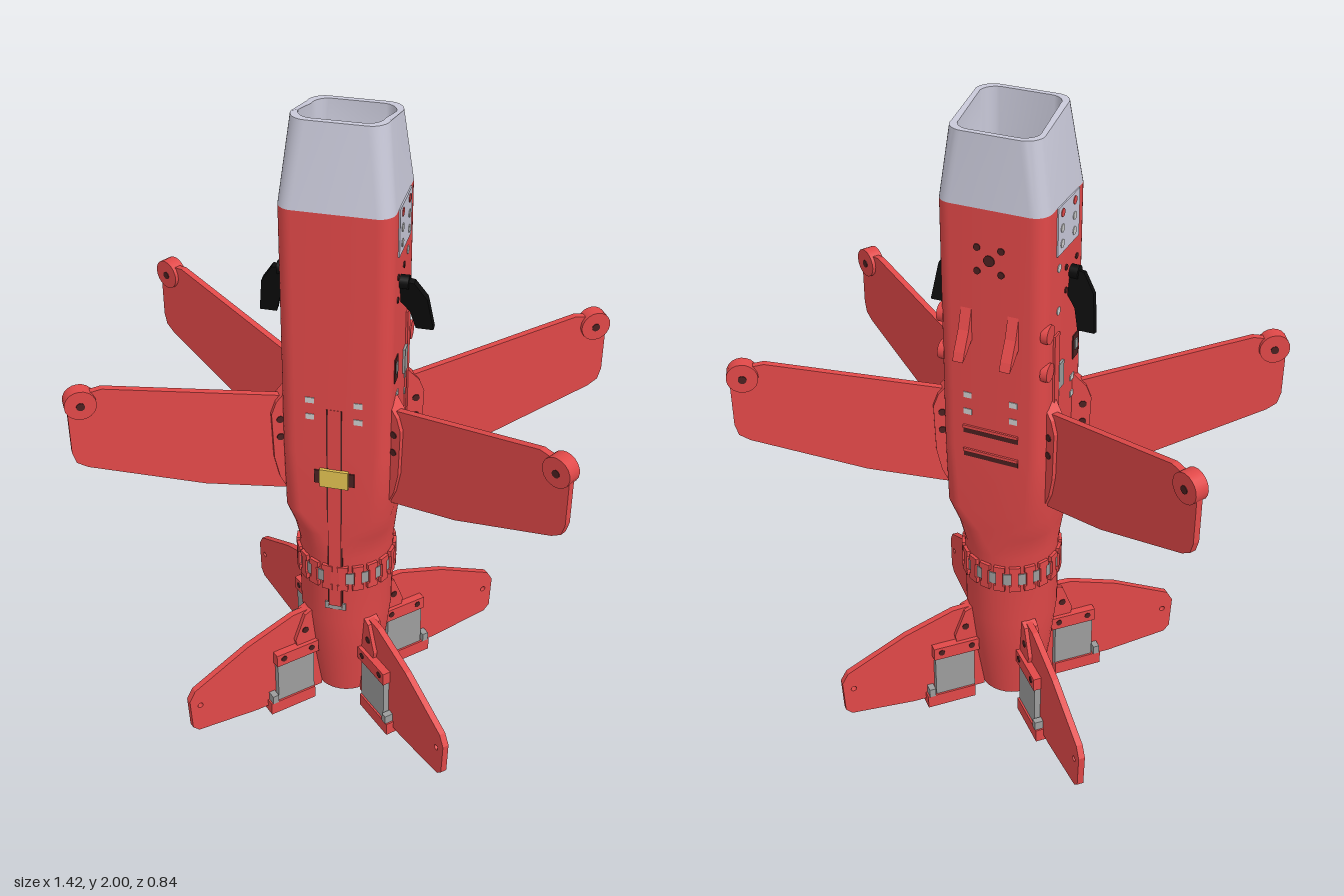
import * as THREE from 'three';
import { toCreasedNormals } from 'three/addons/utils/BufferGeometryUtils.js';

const mat = (color) => new THREE.MeshStandardMaterial({ color });
const RED = mat(0xe04848), NOSE = mat(0xc8c8d8), GREY = mat(0x9c9c9c), BLACK = mat(0x0c0c0c);
const YELLOW = mat(0xe0c050), PALE = mat(0xf2f2f2), GREEN = mat(0x30b040), DARK = mat(0x4a2020);

function add(parent, name, geometry, material, x = 0, y = 0, z = 0) {
  const m = new THREE.Mesh(geometry, material);
  m.name = name;
  m.position.set(x, y, z);
  parent.add(m);
  return m;
}
const box = (p, name, material, w, h, d, x, y, z) =>
  add(p, name, new THREE.BoxGeometry(w, h, d), material, x, y, z);

// Disc whose axis runs along 'x' or 'z'
function disc(p, name, material, r, depth, axis, x, y, z) {
  const g = new THREE.CylinderGeometry(r, r, depth, 20);
  if (axis === 'x') g.rotateZ(Math.PI / 2); else g.rotateX(Math.PI / 2);
  return add(p, name, g, material, x, y, z);
}

// Skin through rounded-rectangle rings: [y, halfWidth, halfDepth, cornerRadius, cx, cz]
function loft(rings, shiftY = () => 0) {
  const pos = [], idx = [], seg = 8, n = 4 * (seg + 1);
  rings.forEach(([y, hw, hd, r, cx = 0, cz = 0], k) => {
    for (let c = 0; c < 4; c++) for (let s = 0; s <= seg; s++) {
      const a = (c + s / seg) * Math.PI / 2;
      const x = cx + (c === 0 || c === 3 ? 1 : -1) * (hw - r) + r * Math.cos(a);
      const z = cz + (c < 2 ? 1 : -1) * (hd - r) + r * Math.sin(a);
      pos.push(x, y + shiftY(k, z), z);
    }
    if (k) for (let i = 0; i < n; i++) {
      const j = (i + 1) % n, a = (k - 1) * n, b = k * n;
      idx.push(a + i, b + i, a + j, a + j, b + i, b + j);
    }
  });
  const g = new THREE.BufferGeometry();
  g.setAttribute('position', new THREE.Float32BufferAttribute(pos, 3));
  g.setIndex(idx);
  return toCreasedNormals(g, 0.5);
}

// Flat plate from an outline, centred on its own plane; holes are [x, y, radius]
function plate(points, thickness, holes = []) {
  const s = new THREE.Shape(points.map(([x, y]) => new THREE.Vector2(x, y)));
  for (const [x, y, r] of holes) s.holes.push(new THREE.Path().absarc(x, y, r, 0, Math.PI * 2, true));
  const g = new THREE.ExtrudeGeometry(s, { depth: thickness, bevelEnabled: false, curveSegments: 8 });
  return g.translate(0, 0, -thickness / 2);
}

// Group whose +x axis points outwards at the given angle
function radial(parent, name, degrees) {
  const g = new THREE.Group();
  g.name = name;
  g.rotation.y = -degrees * Math.PI / 180;
  parent.add(g);
  return g;
}

function wing(parent, angle) {
  const g = radial(parent, 'wing', angle);
  add(g, 'wingPanel', plate([[0.14, 0.82], [0.2, 0.83], [0.43, 0.89], [0.76, 1.015], [0.79, 1.035],
    [0.8, 1.07], [0.8, 1.22], [0.76, 1.255], [0.7, 1.265], [0.14, 1.14]], 0.02), RED);
  add(g, 'wingRootBracket', plate([[0.12, 0.75], [0.16, 0.77], [0.21, 0.88], [0.225, 0.95], [0.23, 1.1],
    [0.215, 1.14], [0.17, 1.19], [0.12, 1.19]], 0.045), RED);
  disc(g, 'wingTipPod', RED, 0.045, 0.042, 'z', 0.763, 1.228, 0);
  disc(g, 'podBolt', DARK, 0.012, 0.046, 'z', 0.763, 1.225, 0);
  for (const y of [1.02, 1.08]) disc(g, 'bracketBolt', DARK, 0.011, 0.05, 'z', 0.205, y, 0);
}

function tailFin(parent, angle) {
  const g = radial(parent, 'tailFin', angle);
  add(g, 'finPanel', plate([[0.1, 0.03], [0.34, 0.03], [0.545, 0.05], [0.565, 0.07], [0.57, 0.18], [0.55, 0.215],
    [0.36, 0.31], [0.2, 0.365], [0.1, 0.37]], 0.02, [[0.535, 0.15, 0.009]]), RED);
  add(g, 'finRoot', plate([[0.1, 0.2], [0.19, 0.22], [0.2, 0.27], [0.165, 0.36], [0.12, 0.38]], 0.045), RED);
  box(g, 'servo', GREY, 0.13, 0.16, 0.058, 0.205, 0.125, 0);
  box(g, 'servoUpperMount', RED, 0.15, 0.045, 0.07, 0.2, 0.225, 0);
  box(g, 'servoLowerMount', RED, 0.16, 0.045, 0.07, 0.22, 0.0325, 0);
  box(g, 'servoFoot', RED, 0.1, 0.03, 0.04, 0.24, 0.015, 0);
  box(g, 'servoHorn', GREY, 0.02, 0.03, 0.075, 0.285, 0.07, 0);
  for (const x of [0.15, 0.25]) disc(g, 'mountBolt', DARK, 0.01, 0.074, 'z', x, 0.228, 0);
  disc(g, 'rootBolt', DARK, 0.011, 0.05, 'z', 0.165, 0.3, 0);
}

export function createModel() {
  const model = new THREE.Group();
  model.name = 'fourWingedTubeAircraft';

  // Fuselage: open tail tube blending into a rounded square
  add(model, 'fuselage', loft([[0.33, 0.001, 0.001, 0.001], [0.33, 0.125, 0.125, 0.125], [0.04, 0.09, 0.09, 0.09],
    [0.04, 0.1, 0.1, 0.1], [0.2, 0.125, 0.125, 0.125], [0.36, 0.143, 0.143, 0.143], [0.62, 0.145, 0.145, 0.145],
    [0.7, 0.15, 0.147, 0.11], [0.78, 0.159, 0.149, 0.055], [1.0, 0.16, 0.15, 0.045], [1.762, 0.16, 0.15, 0.045]]), RED);

  // Nose: hollow tapered hood with a rim that steps down at the back
  const step = (k, z) => (k < 1 || k > 2 ? 0 : -0.035 * THREE.MathUtils.smoothstep(-z, -0.03, 0.06));
  add(model, 'noseHood', loft([[1.76, 0.16, 0.15, 0.045], [2, 0.132, 0.127, 0.05, 0, -0.013],
    [2, 0.115, 0.11, 0.045, 0, -0.013], [1.85, 0.115, 0.11, 0.045, 0, -0.013],
    [1.775, 0.075, 0.075, 0.075, 0, -0.02], [1.77, 0.001, 0.001, 0.001, 0, -0.02]], step), NOSE);
  add(model, 'cameraPlate', new THREE.CylinderGeometry(0.07, 0.07, 0.02, 32), RED, 0, 1.775, -0.022);
  box(model, 'cameraBody', GREY, 0.075, 0.03, 0.075, 0, 1.79, -0.022);
  add(model, 'cameraLens', new THREE.CylinderGeometry(0.034, 0.034, 0.03, 24), BLACK, 0, 1.81, -0.022);

  // Clip ring joining tail and fuselage
  add(model, 'couplingBand', new THREE.CylinderGeometry(0.147, 0.147, 0.04, 48), GREY, 0, 0.54, 0);
  for (let i = 0; i < 20; i++) {
    const g = radial(model, 'couplingClip', i * 18 + 9);
    box(g, 'clipTab', RED, 0.014, 0.09, 0.022, 0.147, 0.545, 0);
    box(g, 'clipFoot', RED, 0.014, 0.02, 0.034, 0.147, 0.51, 0);
    box(g, 'clipHead', RED, 0.014, 0.02, 0.034, 0.147, 0.58, 0);
  }

  for (const a of [30, 150, 210, 330]) wing(model, a);
  for (const a of [45, 135, 225, 315]) tailFin(model, a);

  for (const s of [1, -1]) {
    const x = s * 0.16;
    // Open-topped side scoop between each pair of wings
    add(model, 'sideScoop', loft([[0.785, 0.01, 0.05, 0.01, s * 0.145], [0.83, 0.035, 0.085, 0.025, s * 0.155],
      [0.9, 0.06, 0.1, 0.03, s * 0.165], [0.975, 0.07, 0.095, 0.03, s * 0.165],
      [0.975, 0.06, 0.085, 0.02, s * 0.165], [0.87, 0.035, 0.07, 0.02, s * 0.16], [0.86, 0.001, 0.001, 0.001, s * 0.16]]), RED);

    // Perforated cheek panel under the nose
    box(model, 'cheekPanel', NOSE, 0.008, 0.14, 0.15, x, 1.692, 0.005);
    for (const z of [0.045, -0.04]) {
      for (const y of [1.65, 1.695, 1.74])
        disc(model, 'panelHole', y > 1.72 ? RED : PALE, 0.012, 0.006, 'x', s * 0.163, y, z);
    }
    for (const y of [1.45, 1.58]) disc(model, 'sidePort', PALE, 0.012, 0.006, 'x', s * 0.159, y, -0.05);
    for (const [y, z] of [[1.56, 0.075], [1.49, 0.075], [1.56, 0.0], [1.49, 0.0]])
      disc(model, 'sideScrew', DARK, 0.009, 0.006, 'x', x, y, z);

    // Swept black antenna blade
    const blade = new THREE.Group();
    blade.name = 'antenna';
    blade.position.set(0, 1.53, 0.04);
    blade.rotation.x = 0.24;
    model.add(blade);
    add(blade, 'antennaBlade', plate([[0.155, 0.01], [0.2, 0.005], [0.235, -0.05], [0.25, -0.16], [0.2, -0.16],
      [0.185, -0.1], [0.155, -0.06]].map(([px, py]) => [s * px, py]), 0.02), BLACK);
    disc(blade, 'antennaPivot', BLACK, 0.02, 0.03, 'x', s * 0.17, 0, 0);

    // Side hatches, rail and windows
    box(model, 'hatch', DARK, 0.006, 0.075, 0.04, x, 1.275, 0.08);
    box(model, 'hatchLatch', GREY, 0.012, 0.03, 0.02, x, 1.28, 0.08);
    box(model, 'hatchSwitch', GREY, 0.014, 0.08, 0.035, x, 1.24, -0.033);
    box(model, 'sideRail', RED, 0.012, 0.4, 0.035, x, 1.185, -0.065);
    for (const y of [1.125, 1.18]) {
      for (const z of [0.06, -0.05]) box(model, 'sideWindow', PALE, 0.008, 0.018, 0.025, s * 0.159, y, z);
      for (const z of [0.149, -0.149]) box(model, 'window', PALE, 0.025, 0.018, 0.006, s * 0.07, y, z);
    }

    // Rear corner knobs and hooked lugs
    for (const y of [1.29, 1.41]) disc(model, 'cornerKnob', RED, 0.028, 0.02, 'x', s * 0.156, y, -0.115);
    const hook = add(model, 'rearHook', plate([[0.13, 1.46], [0.15, 1.46], [0.17, 1.4], [0.2, 1.345], [0.21, 1.32],
      [0.185, 1.335], [0.155, 1.36], [0.13, 1.36]], 0.032), RED, s * 0.07);
    hook.rotation.y = Math.PI / 2;
    for (const y of [1.58, 1.65]) disc(model, 'rearScrew', DARK, 0.01, 0.006, 'z', s * 0.035, y, -0.15);
    box(model, 'cameraLight', GREEN, 0.012, 0.012, 0.03, s * 0.06, 1.786, -0.022);
  }

  // Front cable channel with connector and exit slot
  for (const x of [0.021, -0.021]) {
    box(model, 'cableChannelEdge', DARK, 0.004, 0.4, 0.005, x, 0.955, 0.149);
    box(model, 'lowerChannelEdge', DARK, 0.004, 0.34, 0.005, x, 0.595, 0.1435);
  }
  box(model, 'cableCover', RED, 0.038, 0.72, 0.012, 0, 0.795, 0.145);
  box(model, 'connectorSeat', DARK, 0.12, 0.045, 0.006, 0, 0.92, 0.15);
  box(model, 'connector', YELLOW, 0.085, 0.06, 0.016, 0, 0.92, 0.152);
  box(model, 'cableExit', GREY, 0.065, 0.025, 0.012, 0, 0.43, 0.14);

  // Rear strap slots and centre screw
  for (const y of [0.98, 1.06]) {
    box(model, 'strapSlot', DARK, 0.17, 0.016, 0.005, 0, y, -0.149);
    box(model, 'strapBar', RED, 0.17, 0.01, 0.012, 0, y + 0.014, -0.15);
  }
  disc(model, 'rearCentreScrew', DARK, 0.016, 0.006, 'z', 0, 1.615, -0.15);
  return model;
}
